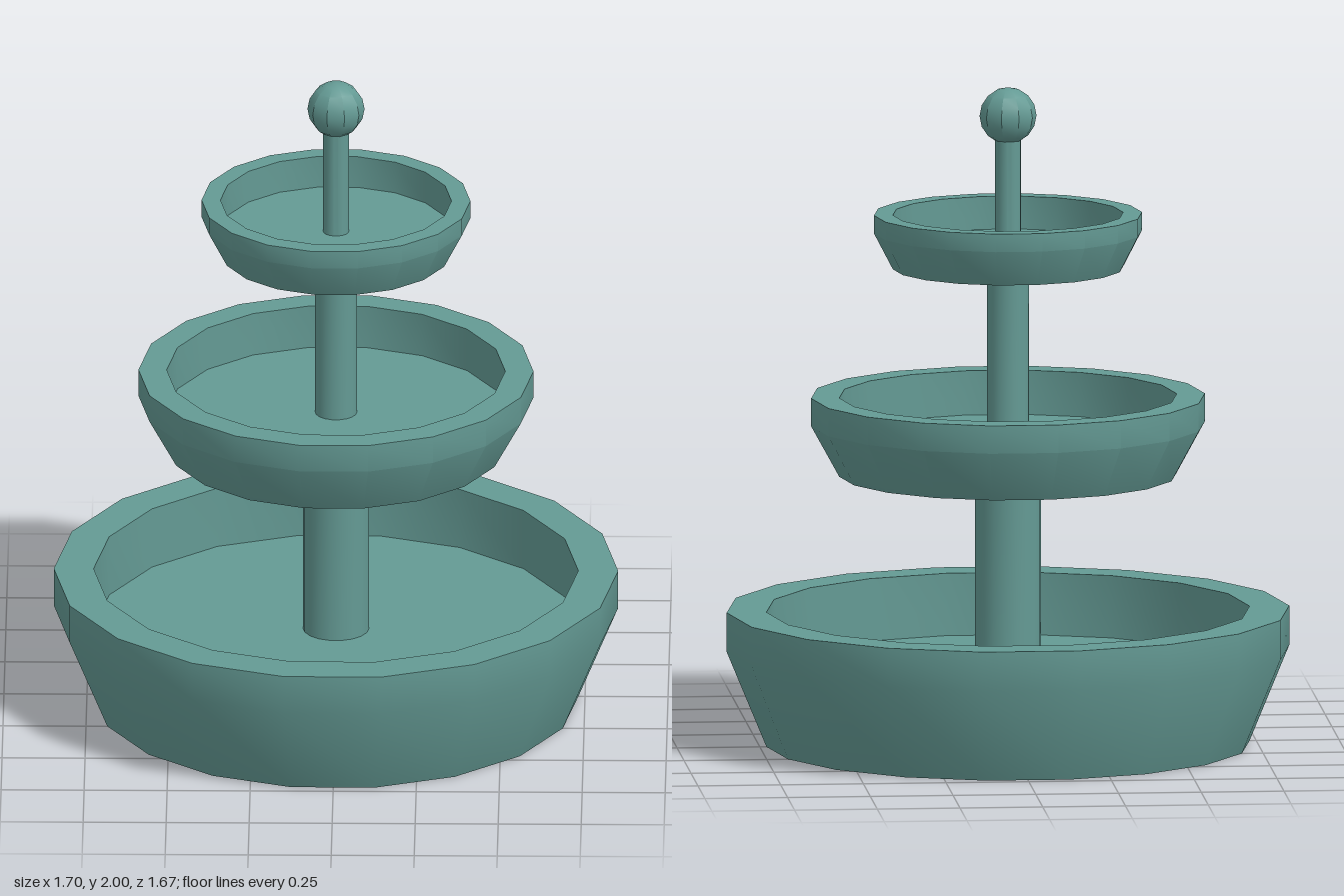
import * as THREE from 'three';
import { toCreasedNormals } from 'three/addons/utils/BufferGeometryUtils.js';

export function createModel() {
  const fountain = new THREE.Group();
  fountain.name = 'tieredFountain';
  const stone = new THREE.MeshStandardMaterial({ color: 0x649a94 });

  function add(name, geometry) {
    const mesh = new THREE.Mesh(toCreasedNormals(geometry, Math.PI / 6), stone);
    mesh.name = name;
    fountain.add(mesh);
    return mesh;
  }

  // Each tier: flared bowl with a straight rim and a sunken floor, plus its column
  const tiers = [
    { name: 'lower', base: 0.73, rim: 0.85, y: [0, 0.29, 0.41], floor: 0.22, column: 0.1, columnTop: 0.83 },
    { name: 'middle', base: 0.51, rim: 0.595, y: [0.82, 0.975, 1.06], floor: 0.925, column: 0.063, columnTop: 1.46 },
    { name: 'upper', base: 0.348, rim: 0.405, y: [1.45, 1.56, 1.615], floor: 1.515, column: 0.039, columnTop: 1.86 },
  ];

  for (const t of tiers) {
    const [bottom, shoulder, top] = t.y;
    const profile = [
      [0, bottom], [t.base, bottom], [t.rim, shoulder], [t.rim, top],
      [t.base, top], [t.base, t.floor], [0, t.floor],
    ].map(([r, y]) => new THREE.Vector2(r, y));
    add(t.name + 'Bowl', new THREE.LatheGeometry(profile, 18, Math.PI / 2));

    const height = t.columnTop - t.floor;
    const column = new THREE.CylinderGeometry(t.column, t.column, height, 18, 1, false, Math.PI / 2);
    add(t.name + 'Column', column).position.y = t.floor + height / 2;
  }

  // Ball on top
  add('finialBall', new THREE.SphereGeometry(0.086, 10, 8)).position.y = 1.914;

  return fountain;
}
